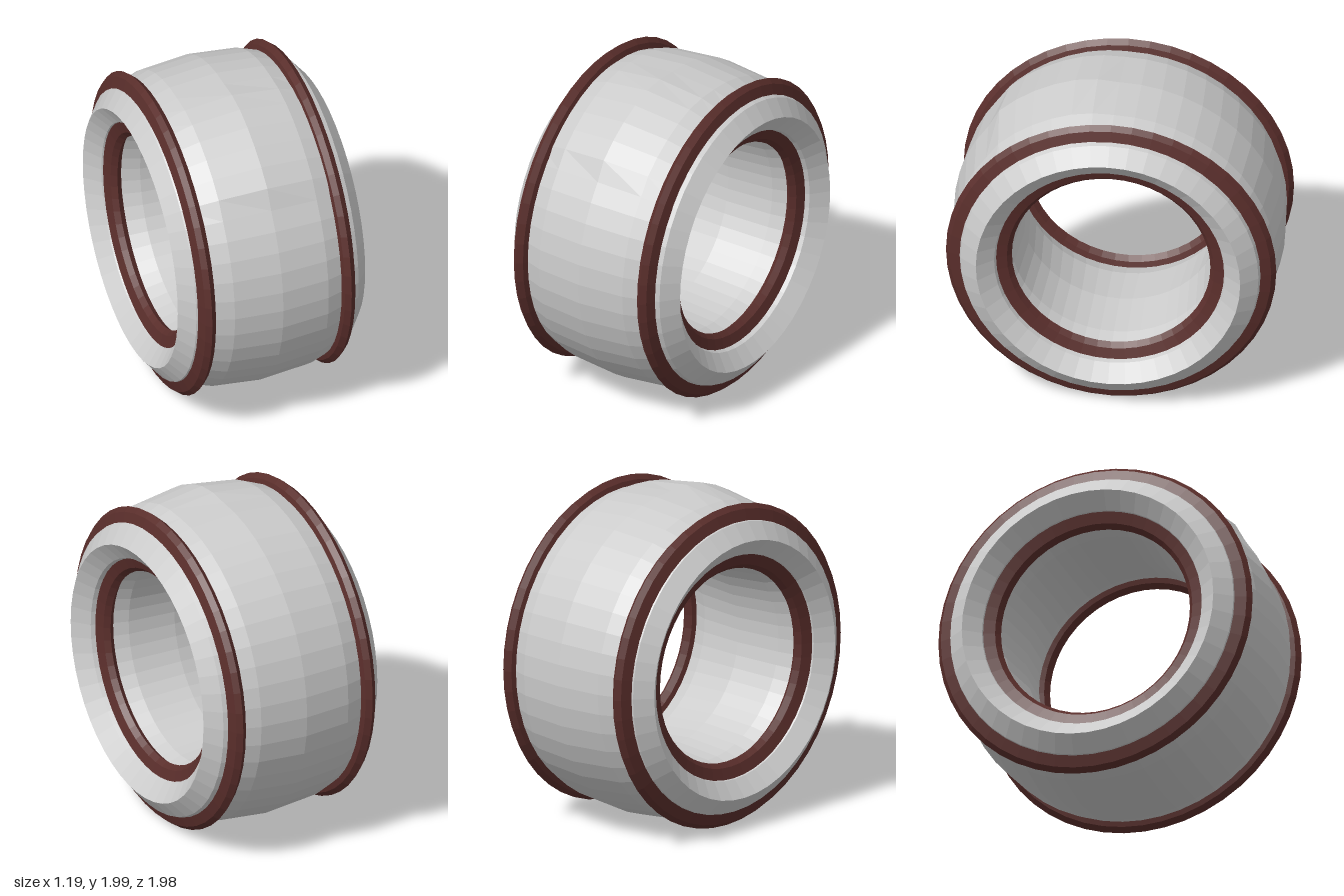
import * as THREE from 'three';

const RADIUS = 0.79;

// Torus around the x axis with a tube stretched to the given half width
function hoop(tube, halfWidth) {
  return new THREE.TorusGeometry(RADIUS, tube, 12, 48)
    .rotateY(Math.PI / 2)
    .scale(halfWidth / tube, 1, 1);
}

function part(name, geometry, color, x) {
  const material = new THREE.MeshStandardMaterial({ color, flatShading: true });
  const mesh = new THREE.Mesh(geometry, material);
  mesh.name = name;
  mesh.position.set(x, 1, 0);
  return mesh;
}

export function createModel() {
  const group = new THREE.Group();
  group.name = 'bandedRing';

  // Wide band, swollen slightly on its upper front
  const band = hoop(0.2, 0.595);
  const pos = band.attributes.position;
  for (let i = 0; i < pos.count; i++) {
    const x = pos.getX(i), y = pos.getY(i), z = pos.getZ(i);
    const r = Math.hypot(y, z);
    const angle = Math.atan2(z, y);
    if (r < 0.95 || angle < 0 || angle > 0.9) continue;
    const swell = 0.03 * Math.min(1, angle / 0.2, (0.9 - angle) / 0.1);
    const k = 1 + (Math.abs(x) < 0.1 ? swell : swell * 0.5) / r;
    pos.setXYZ(i, x, y * k, z * k);
  }
  group.add(part('band', band, 0xcccccc, 0));

  // Raised trim hoops, showing both outside and inside the band
  group.add(part('leftTrim', hoop(0.197, 0.066), 0x5a2e2b, 0.435));
  group.add(part('rightTrim', hoop(0.197, 0.066), 0x5a2e2b, -0.45));
  return group;
}
